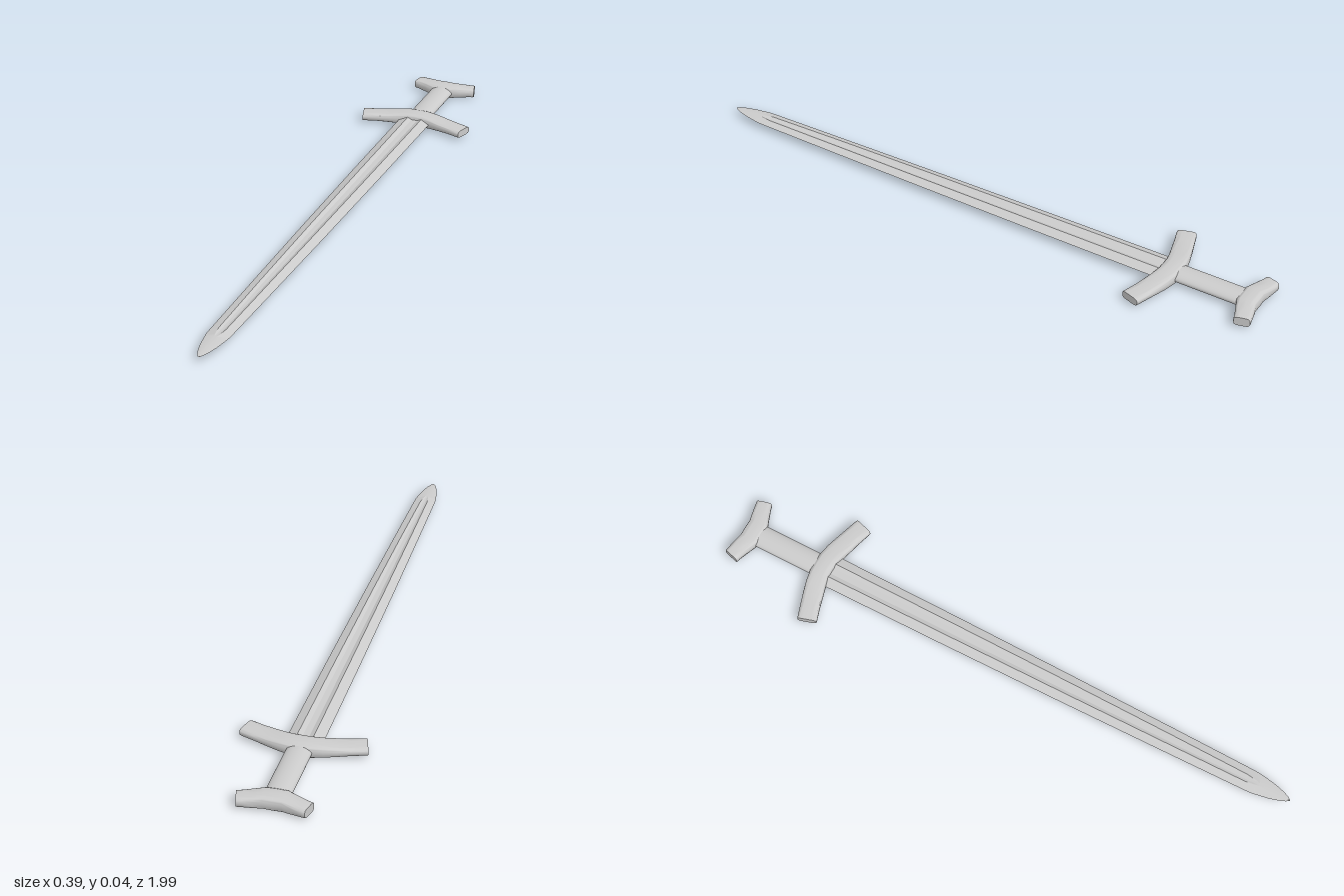
import * as THREE from 'three';
import { toCreasedNormals } from 'three/addons/utils/BufferGeometryUtils.js';

const MID = 0.0245; // height of the sword's centre plane

// Skin closed rings of [x, y, z] points, wound counter-clockwise seen from the far end, with capped ends.
function loft(rings, crease) {
  const pos = [];
  const tri = (...pts) => pts.forEach((p) => pos.push(...p));
  const n = rings[0].length;
  const centre = (ring) => [0, 1, 2].map((k) => ring.reduce((s, p) => s + p[k], 0) / n);
  const first = rings[0];
  const last = rings[rings.length - 1];
  const c0 = centre(first);
  const c1 = centre(last);
  for (let i = 0; i < n; i++) {
    const j = (i + 1) % n;
    for (let r = 0; r < rings.length - 1; r++) {
      const a = rings[r];
      const b = rings[r + 1];
      tri(a[i], a[j], b[j]);
      tri(a[i], b[j], b[i]);
    }
    tri(c0, first[j], first[i]);
    tri(c1, last[i], last[j]);
  }
  const geometry = new THREE.BufferGeometry();
  geometry.setAttribute('position', new THREE.Float32BufferAttribute(pos, 3));
  return toCreasedNormals(geometry, crease);
}

// Blade section: two ridges with a sunken fuller between them.
function bladeRing([z, edge, ridgeX, ridgeY, valleyX, valleyY]) {
  const half = [[edge, 0], [ridgeX, ridgeY], [valleyX, valleyY], [-valleyX, valleyY], [-ridgeX, ridgeY]];
  return [...half, ...half.map(([x, y]) => [-x, -y])].map(([x, y]) => [x, MID + y, z]);
}

// Crossbar swept along x through mirrored stations [x, z, halfHeight, halfDepth, tilt].
function crossbar(stations) {
  const mirrored = stations.slice(1).reverse().map(([x, z, h, d, t]) => [-x, z, h, d, -t]);
  const rings = [...mirrored, ...stations].map(([x, z, h, d, tilt]) => {
    const ring = [];
    for (let i = 0; i < 32; i++) {
      const a = (i / 32) * Math.PI * 2;
      const round = (v) => Math.sign(v) * Math.pow(Math.abs(v), 0.5); // rounded rectangle
      const u = round(Math.cos(a)) * h;
      const v = round(Math.sin(a)) * d;
      ring.push([x - Math.sin(tilt) * v, MID + u, z + Math.cos(tilt) * v]);
    }
    return ring;
  });
  return loft(rings, 0.8);
}

export function createModel() {
  const model = new THREE.Group();
  model.name = 'sword';
  const material = new THREE.MeshStandardMaterial({ color: 0xcccccc });
  const add = (name, geometry) => {
    const mesh = new THREE.Mesh(geometry, material);
    mesh.name = name;
    model.add(mesh);
    return mesh;
  };

  // Blade: z, edge, ridge x, ridge y, valley x, valley y
  add('blade', loft([
    [-0.69, 0.056, 0.025, 0.0125, 0.010, 0.006],
    [-0.23, 0.053, 0.023, 0.0118, 0.009, 0.0055],
    [0.20, 0.048, 0.020, 0.011, 0.008, 0.005],
    [0.57, 0.042, 0.016, 0.0095, 0.006, 0.0045],
    [0.84, 0.037, 0.012, 0.007, 0.004, 0.004],
    [0.87, 0.036, 0.008, 0.0063, 0.003, 0.0045],
    [0.885, 0.034, 0.004, 0.006, 0.002, 0.006],
    [0.93, 0.026, 0.003, 0.0042, 0.0015, 0.0042],
    [0.965, 0.016, 0.002, 0.0025, 0.001, 0.0025],
    [0.982, 0.0085, 0.001, 0.0014, 0.0005, 0.0014],
    [0.992, 0.001, 0.0004, 0.0005, 0.0002, 0.0005],
  ].map(bladeRing), 0.2));

  // Guard, swept toward the tip at both ends
  add('guard', crossbar([
    [0, -0.688, 0.022, 0.033, 0],
    [0.03, -0.687, 0.0215, 0.033, 0.06],
    [0.065, -0.680, 0.0185, 0.033, 0.2],
    [0.10, -0.670, 0.0155, 0.033, 0.27],
    [0.14, -0.658, 0.0133, 0.032, 0.29],
    [0.18, -0.645, 0.013, 0.032, 0.3],
    [0.187, -0.643, 0.0125, 0.031, 0.3],
  ]));

  // Grip with an oval section
  const grip = add('grip', new THREE.CylinderGeometry(0.039, 0.039, 0.25, 32));
  grip.geometry.rotateX(Math.PI / 2).scale(1, 0.47, 1);
  grip.position.set(0, MID, -0.82);

  // Pommel, swept away from the blade at both ends
  add('pommel', crossbar([
    [0, -0.952, 0.0215, 0.0325, 0],
    [0.03, -0.952, 0.021, 0.032, -0.06],
    [0.06, -0.962, 0.0185, 0.029, -0.22],
    [0.09, -0.971, 0.016, 0.0265, -0.26],
    [0.103, -0.974, 0.0155, 0.026, -0.26],
    [0.107, -0.975, 0.015, 0.025, -0.26],
  ]));

  return model;
}
